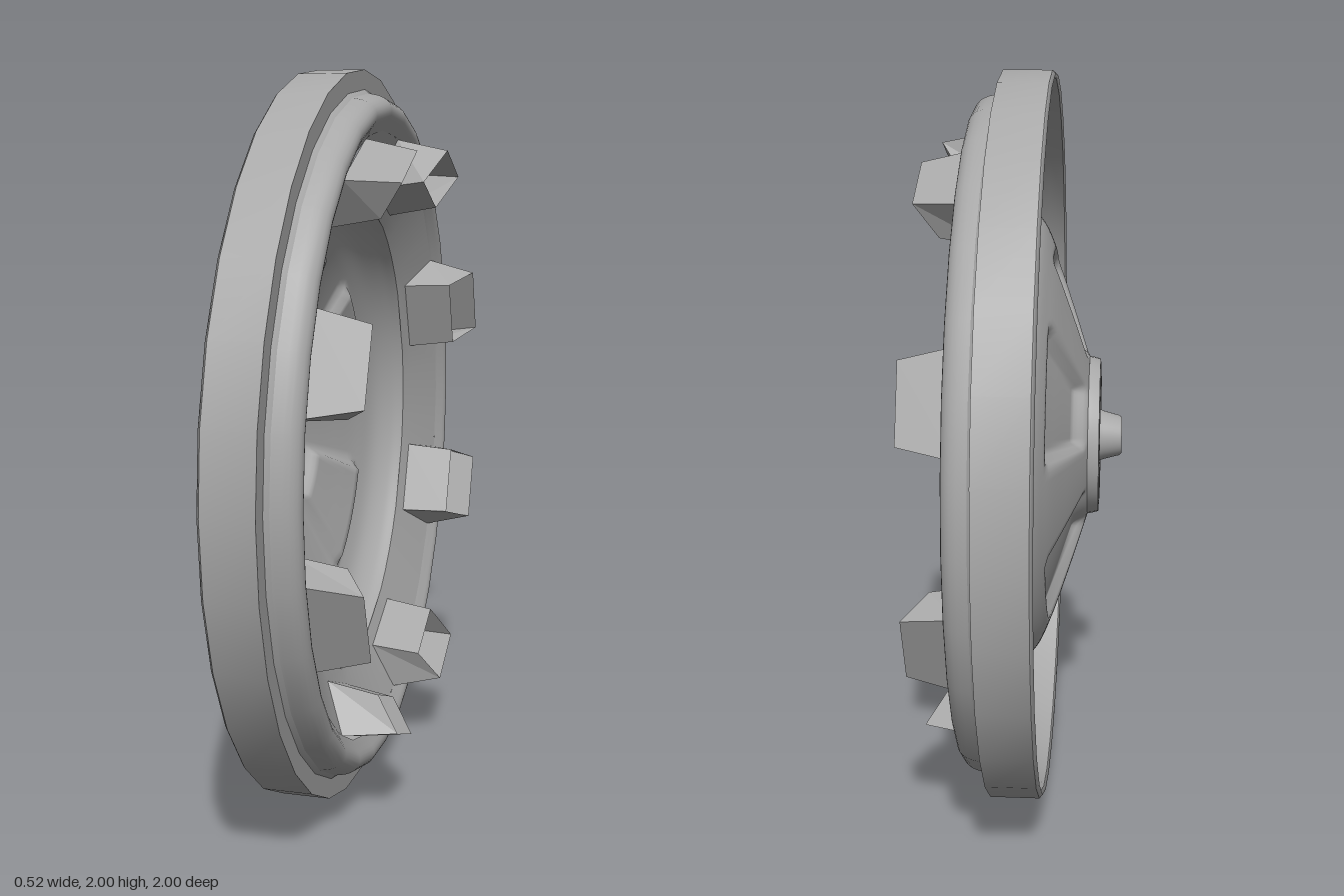
import * as THREE from 'three';

const rad = THREE.MathUtils.degToRad;
const smooth = THREE.MathUtils.smoothstep;

// Point on the wheel: the axle runs along x, angle goes from up (+y) towards +z
const polar = (x, r, a) => [x, r * Math.cos(a), r * Math.sin(a)];

// Closed ring surface from a profile of [x, radius] and a list of angles
function ringSurface(profile, angles, { offset = () => 0, skip = () => false } = {}) {
  const n = angles.length, pos = [], index = [];
  for (const [x, r] of profile)
    for (const a of angles) pos.push(...polar(x + offset(r, a), r, a));
  for (let i = 0; i < profile.length - 1; i++)
    for (let j = 0; j < n; j++) {
      if (skip(i, j)) continue;
      const k = (j + 1) % n;
      const a = i * n + j, b = i * n + k, c = a + n, d = b + n;
      index.push(a, c, b, b, c, d);
    }
  const g = new THREE.BufferGeometry();
  g.setAttribute('position', new THREE.Float32BufferAttribute(pos, 3));
  g.setIndex(index);
  g.computeVertexNormals();
  return g;
}

const evenAngles = n => Array.from({ length: n }, (_, i) => (i / n) * Math.PI * 2);

// Smooth [x, radius] profile through a few points
function curveProfile(points, n) {
  const c = new THREE.CatmullRomCurve3(points.map(([x, r]) => new THREE.Vector3(x, r, 0)), false, 'centripetal');
  return c.getPoints(n).map(p => [p.x, p.y]);
}

export function createModel() {
  const model = new THREE.Group();
  const grey = new THREE.MeshStandardMaterial({ color: 0xa8a8a8, side: THREE.DoubleSide });
  grey.name = 'plain grey';
  const wheel = new THREE.Group();
  wheel.name = 'wheelCover';
  wheel.position.y = 1;
  model.add(wheel);
  const add = (name, geometry, parent = wheel) => {
    const m = new THREE.Mesh(geometry, grey);
    m.name = name;
    parent.add(m);
    return m;
  };
  const a32 = evenAngles(32);

  // Rim: faceted outer hoop, thin lip, inner lining and rounded front ridge
  add('rimHoop', ringSurface([[-0.06, 1], [0.07, 1]], a32));
  add('rimLip', ringSurface([[-0.062, 0.982], [-0.068, 0.99], [-0.06, 1]], a32));
  add('rimStep', ringSurface([[0.07, 1], [0.07, 0.94]], a32));
  add('rimLining', ringSurface(curveProfile([[-0.062, 0.982], [0.05, 0.96], [0.09, 0.93], [0.115, 0.9]], 8), a32));
  add('frontRidge', ringSurface(
    curveProfile([[0.07, 0.94], [0.12, 0.928], [0.142, 0.908], [0.145, 0.885], [0.132, 0.86], [0.12, 0.84]], 14), a32));

  // Sloped band with eight openings, one per 45 degree sector
  const half = 9;
  const sector = [-22.5, -15.75, -half, half, 15.75];
  const bandAngles = [];
  for (let s = 0; s < 8; s++) for (const o of sector) bandAngles.push(rad(22.5 + s * 45 + o));
  const bandX = r => 0.045 + (r - 0.66) * 0.417;
  const [holeIn, holeOut] = [0.7, 0.84];
  add('slottedBand', ringSurface(
    [0.66, holeIn, holeOut].map(r => [bandX(r), r]), bandAngles,
    { skip: (i, j) => i === 1 && j % 5 === 2 }));

  // Tapered open sockets: outer wall longer than the inner wall
  const base = [[holeIn, -1], [holeOut, -1], [holeOut, 1], [holeIn, 1]].map(
    ([r, s]) => polar(bandX(r), r, s * rad(half)));
  const tip = [[0.2, 0.715, -0.103], [0.26, 0.81, -0.1], [0.26, 0.81, 0.1], [0.2, 0.715, 0.103]];
  const socketPos = [];
  for (let i = 0; i < 4; i++) {
    const k = (i + 1) % 4;
    for (const p of [base[i], base[k], tip[k], base[i], tip[k], tip[i]]) socketPos.push(...p);
  }
  const socketGeo = new THREE.BufferGeometry();
  socketGeo.setAttribute('position', new THREE.Float32BufferAttribute(socketPos, 3));
  socketGeo.computeVertexNormals();
  const sockets = new THREE.Group();
  sockets.name = 'sockets';
  wheel.add(sockets);
  for (let s = 0; s < 8; s++) add('socket', socketGeo, sockets).rotation.x = rad(22.5 + s * 45);

  // Dished centre with five pressed panels
  const pressed = (r, a) => {
    const step = rad(72);
    let d = (a - rad(11.5)) % step;
    if (d < 0) d += step;
    d = Math.min(d, step - d);
    const side = (rad(21.5) - d) * r;
    return 0.032 * smooth(side, 0, 0.028) * smooth(r, 0.225, 0.26) * (1 - smooth(r, 0.485, 0.525));
  };
  const dish = curveProfile(
    [[-0.168, 0.222], [-0.15, 0.28], [-0.115, 0.39], [-0.07, 0.52], [-0.035, 0.595], [0.01, 0.64], [0.045, 0.66]], 44);
  add('dish', ringSurface(dish, evenAngles(160), { offset: pressed }));

  // Hub with a shallow groove and a hollow centre nub
  const a48 = evenAngles(48);
  add('hubWall', ringSurface([[-0.168, 0.222], [-0.18, 0.22], [-0.198, 0.215]], a48));
  add('hubFace', ringSurface(
    curveProfile([[-0.198, 0.215], [-0.2, 0.16], [-0.195, 0.145], [-0.178, 0.128], [-0.176, 0.095], [-0.19, 0.076]], 18), a48));
  add('nubWall', ringSurface([[-0.19, 0.076], [-0.21, 0.068], [-0.255, 0.056], [-0.26, 0.05]], a48));
  add('nubCap', ringSurface([[-0.26, 0.05], [-0.26, 0.001]], a48));
  return model;
}
